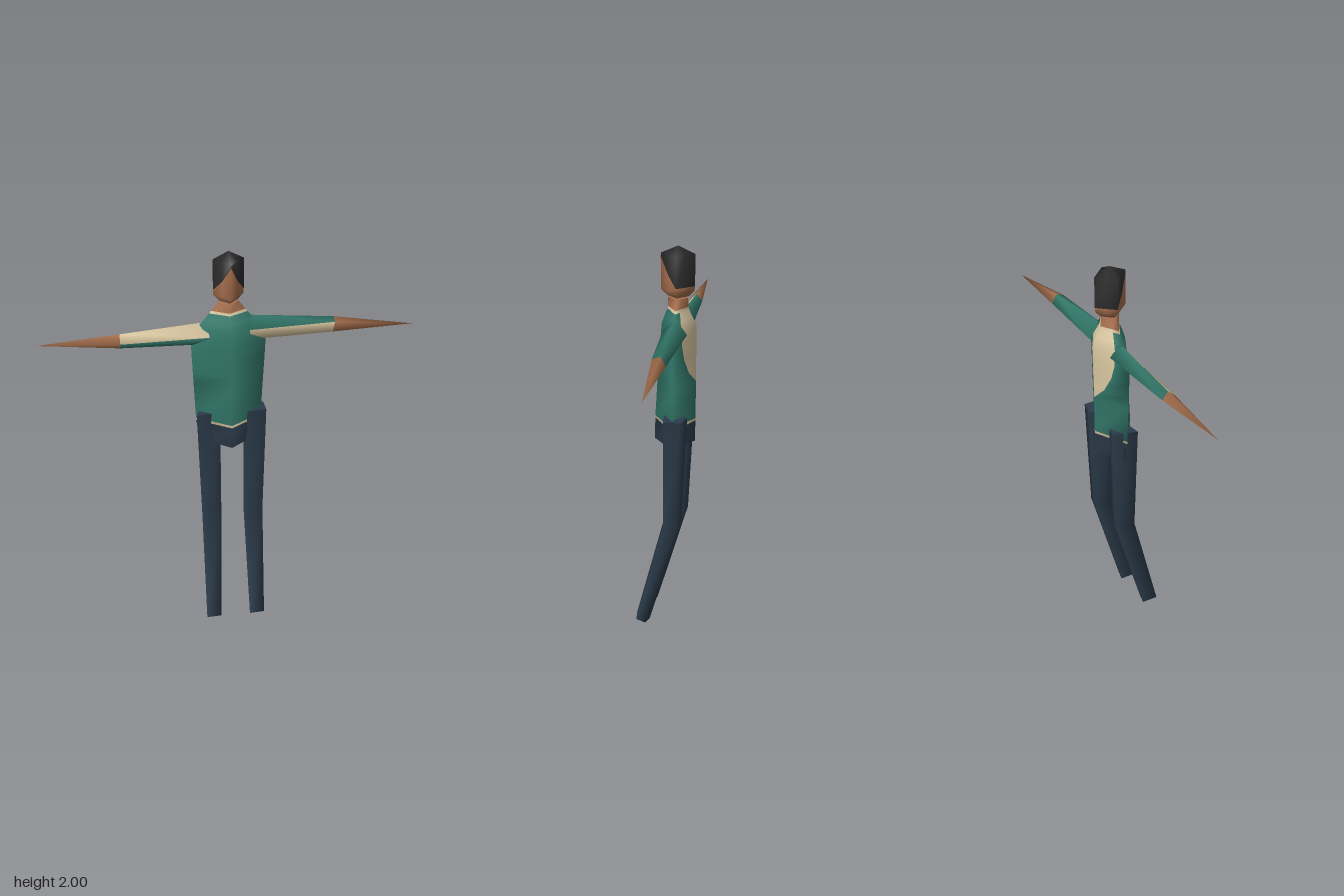
import * as THREE from 'three';
import { mergeVertices } from 'three/addons/utils/BufferGeometryUtils.js';

const mat = (name, color) => {
  const m = new THREE.MeshStandardMaterial({ color });
  m.name = name;
  return m;
};

// Closed skin over rings of [x, y, z] points; pick(row, column) gives the material index.
function loft(name, rings, materials, pick = () => 0) {
  const n = rings[0].length;
  const buckets = materials.map(() => []);
  for (let r = 0; r < rings.length - 1; r++) {
    for (let c = 0; c < n; c++) {
      const a = r * n + c, b = r * n + (c + 1) % n;
      buckets[pick(r, c)].push(a, b, b + n, a, b + n, a + n);
    }
  }
  let geo = new THREE.BufferGeometry();
  geo.setAttribute('position', new THREE.Float32BufferAttribute(rings.flat(2), 3));
  geo.setIndex(buckets.flat());
  let start = 0;
  buckets.forEach((b, i) => {
    if (b.length) geo.addGroup(start, b.length, i);
    start += b.length;
  });
  geo = mergeVertices(geo, 1e-5);
  geo.computeVertexNormals();
  const mesh = new THREE.Mesh(geo, materials.length > 1 ? materials : materials[0]);
  mesh.name = name;
  return mesh;
}

// A ring shrunk to its middle, for closing an end.
function middle(ring) {
  const m = [0, 1, 2].map(k => ring.reduce((s, p) => s + p[k], 0) / ring.length);
  return ring.map(() => m);
}

const mix = (a, b, t) => a.map((v, k) => v + (b[k] - v) * t);

// Diamond corners: front, left, back, right.
const MID_Z = -0.055;
const diamond = (y, w, front, back) => [[0, y, front], [w, y, MID_Z], [0, y, back], [-w, y, MID_Z]];

export function createModel() {
  const skin = mat('skin', 0xa9714f);
  const shirt = mat('greenShirt', 0x33786a);
  const cream = mat('cream', 0xdac8a2);
  const navy = mat('navyTrousers', 0x2b3b4a);
  const hair = mat('darkHair', 0x2c2c2c);
  const model = new THREE.Group();
  model.name = 'standingFigure';

  // Torso rows: y, half width, front z, back z, share of the back in cream, colour above
  const rows = [
    [1.00, 0.145, 0.063, -0.142, 0, 0],
    [1.11, 0.165, 0.06, -0.144, 0, 1],
    [1.123, 0.165, 0.06, -0.144, 0, 2],
    [1.32, 0.175, 0.048, -0.145, 0, 2],
    [1.38, 0.178, 0.044, -0.145, 0.3, 2],
    [1.46, 0.182, 0.038, -0.145, 0.5, 2],
    [1.53, 0.185, 0.033, -0.145, 0.58, 2],
    [1.61, 0.165, 0.027, -0.144, 0.63, 2],
    [1.65, 0.125, 0.013, -0.126, 0.65, 2],
    [1.687, 0.095, -0.002, -0.108, 0.65, 1],
    [1.70, 0.085, -0.005, -0.105, 0.65, 3],
    [1.745, 0.05, -0.005, -0.103, 0.65, 3],
  ];
  const torsoRings = rows.map(([y, w, f, b, share]) => {
    const [front, left, back, right] = diamond(y, w, f, b);
    return [front, left, mix(back, left, share), back, mix(back, right, share), right];
  });
  const backPanel = (r, c) => r >= 3 && r < 9 && (c === 2 || c === 3);
  model.add(loft('torso', torsoRings, [navy, cream, shirt, skin],
    (r, c) => (backPanel(r, c) ? 1 : rows[r][5])));
  model.add(loft('pelvisBase', [middle(torsoRings[0]), torsoRings[0]], [navy]));
  const neck = torsoRings[torsoRings.length - 1];
  model.add(loft('neckTop', [neck, middle(neck)], [skin]));

  // Head: eight columns, with a hairline that rises to a peak over the face
  const headRing = (w, front, back, ys) => {
    const d = diamond(0, w, front, back);
    return ys.map((y, i) => {
      const p = mix(d[i >> 1], d[((i >> 1) + 1) % 4], (i % 2) / 2);
      return [p[0], y, p[2]];
    });
  };
  const level = y => new Array(8).fill(y);
  const hairline = [1.945, 1.862, 1.807, 1.805, 1.805, 1.805, 1.807, 1.862];
  model.add(loft('head', [
    headRing(0, MID_Z, MID_Z, level(1.742)),
    headRing(0.045, -0.005, -0.105, level(1.752)),
    headRing(0.073, 0.03, -0.133, level(1.782)),
    headRing(0.075, 0.031, -0.136, hairline),
    headRing(0.075, 0.03, -0.137, level(1.962)),
    headRing(0, MID_Z, MID_Z, level(2)),
  ], [skin, hair], r => (r >= 3 ? 1 : 0)));

  // Arms: rings run along +x, corners are top, front, bottom, back as [y, z]
  const ring = (x, corners) => corners.map(([y, z]) => [x, y, z]);
  const tip = (x, y) => ring(x, new Array(4).fill([y, -0.06]));
  const leftShoulder = ring(0.1, [[1.665, -0.06], [1.61, 0.0], [1.538, -0.05], [1.59, -0.115]]);
  const leftElbow = ring(0.525, [[1.625, -0.065], [1.612, -0.025], [1.545, -0.06], [1.58, -0.09]]);
  const rightShoulder = ring(-0.1, [[1.642, -0.06], [1.58, -0.008], [1.528, -0.05], [1.58, -0.112]]);
  const rightElbow = ring(-0.53, [[1.607, -0.06], [1.57, -0.02], [1.535, -0.055], [1.57, -0.092]]);
  model.add(loft('leftArm', [middle(leftShoulder), leftShoulder, leftElbow, tip(0.93, 1.56)],
    [shirt, cream, skin], (r, c) => (r === 2 ? 2 : c === 1 ? 1 : 0)));
  model.add(loft('rightArm', [tip(-0.93, 1.575), rightElbow, rightShoulder, middle(rightShoulder)],
    [shirt, cream, skin], (r, c) => (r === 0 ? 2 : c === 0 ? 1 : 0)));

  // Legs: slightly turned box section, bent forward at the knee
  const section = [[-1, 1], [1, 0.75], [1, -0.65], [-0.35, -1]];
  const legRing = (x, y, z, w, d, tilt = 0) =>
    section.map(([sx, sz]) => [x + sx * w, y + sz * tilt, z + sz * d]);
  const legs = {
    leftLeg: [0.122, 0.122, 0.126],
    rightLeg: [-0.108, -0.096, -0.109],
  };
  for (const [name, [foot, knee, hip]] of Object.entries(legs)) {
    const rings = [
      legRing(foot, 0.014, 0.11, 0.039, 0.035, 0.012),
      legRing(knee, 0.58, -0.045, 0.051, 0.046, 0.008),
      legRing(hip, 1.165, -0.058, 0.06, 0.061),
    ];
    const leg = new THREE.Group();
    leg.name = name;
    leg.add(
      loft('trouserLeg', rings, [navy]),
      loft('trouserHem', [middle(rings[0]), rings[0]], [navy]),
      loft('trouserTop', [rings[2], middle(rings[2])], [navy]),
    );
    model.add(leg);
  }
  return model;
}
